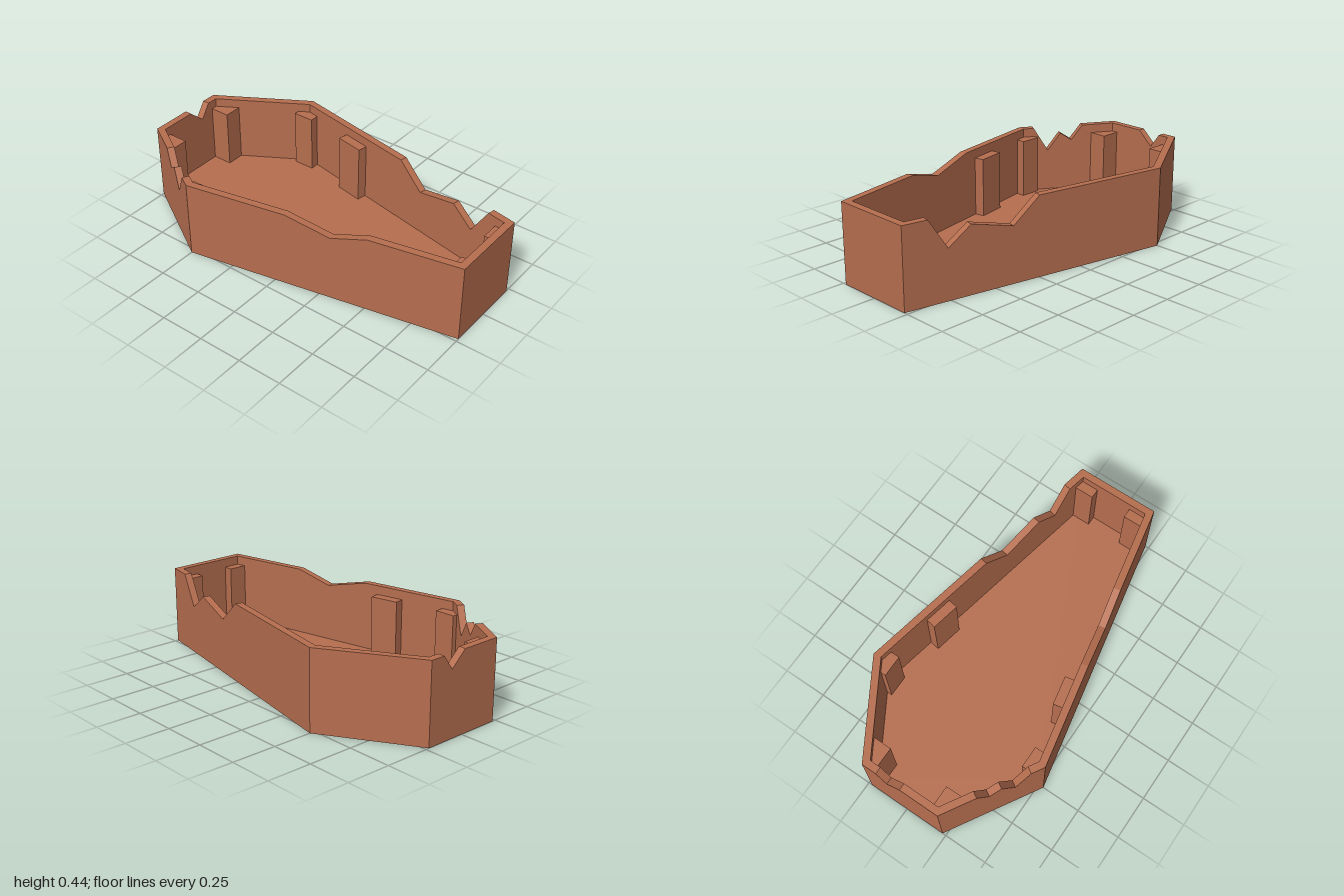
import * as THREE from 'three';

const HEIGHT = 0.44, THICK = 0.04, FLOOR = 0.06, POST = 0.39;

// six-sided footprint, counter-clockwise seen from above, as [x, z]
const outer = [[0.23, 1], [0.53, -0.5], [0.23, -1], [-0.23, -1], [-0.53, -0.5], [-0.23, 1]];
const inner = [[0.197, 0.96], [0.488, -0.492], [0.207, -0.96], [-0.207, -0.96], [-0.488, -0.492], [-0.197, 0.96]];

// broken top edge of each wall: [fraction along the wall, height]
const walls = [
  ['leftLongWall', [[0.09, HEIGHT], [0.16, 0.275], [0.243, 0.37], [0.4, 0.31], [0.5, HEIGHT]]],
  ['leftShoulderWall', []],
  ['headWall', [[0.185, HEIGHT], [0.31, 0.36], [0.5, HEIGHT]]],
  ['rightShoulderWall', [[0.36, HEIGHT], [0.475, 0.355], [0.59, 0.4], [0.72, 0.3], [0.868, HEIGHT]]],
  ['rightLongWall', [[0.375, HEIGHT], [0.54, 0.381], [0.673, HEIGHT]]],
  ['footWall', []],
];

// mitred wall with a jagged top, built from cross-sections along its length
function wallGeometry(i, notch) {
  const j = (i + 1) % 6;
  const [a, b] = [outer[i], outer[j]];
  const dx = b[0] - a[0], dz = b[1] - a[1], len = Math.hypot(dx, dz);
  const sections = [[0, HEIGHT], ...notch, [1, HEIGHT]].map(([t, y]) => {
    const o = [a[0] + dx * t, a[1] + dz * t];
    let n = [o[0] + (dz / len) * THICK, o[1] - (dx / len) * THICK];
    if (t === 0) n = inner[i];
    if (t === 1) n = inner[j];
    return { o, n, y };
  });
  const pos = [];
  const at = (p, y) => [p[0], y, p[1]];
  const quad = (p, q, r, s) => pos.push(...p, ...q, ...r, ...p, ...r, ...s);
  for (let k = 0; k + 1 < sections.length; k++) {
    const s = sections[k], e = sections[k + 1];
    quad(at(s.o, 0), at(e.o, 0), at(e.o, e.y), at(s.o, s.y)); // outside
    quad(at(e.n, 0), at(s.n, 0), at(s.n, s.y), at(e.n, e.y)); // inside
    quad(at(s.o, s.y), at(e.o, e.y), at(e.n, e.y), at(s.n, s.y)); // rim
    quad(at(s.o, 0), at(s.n, 0), at(e.n, 0), at(e.o, 0)); // underside
  }
  const g = new THREE.BufferGeometry();
  g.setAttribute('position', new THREE.Float32BufferAttribute(pos, 3));
  g.computeVertexNormals();
  return g;
}

// upright prism from an [x, z] outline
function prism(outline, y0, y1) {
  const shape = new THREE.Shape(outline.map(([x, z]) => new THREE.Vector2(x, -z)));
  return new THREE.ExtrudeGeometry(shape, { depth: y1 - y0, bevelEnabled: false })
    .rotateX(-Math.PI / 2).translate(0, y0, 0);
}

export function createModel() {
  const group = new THREE.Group();
  const wood = new THREE.MeshStandardMaterial({ color: 0xb66e4f });
  wood.name = 'reddish wood';
  const add = (name, geometry) => {
    const mesh = new THREE.Mesh(geometry, wood);
    mesh.name = name;
    group.add(mesh);
  };

  add('floor', prism(inner, 0, FLOOR));
  walls.forEach(([name, notch], i) => add(name, wallGeometry(i, notch)));

  // inner support posts, mirrored left and right
  const posts = {
    HeadPost: [[0.172, -0.97], [0.211, -0.97], [0.285, -0.846], [0.172, -0.846]],
    ShoulderPost: [[0.425, -0.55], [0.46, -0.55], [0.492, -0.492], [0.479, -0.43], [0.425, -0.43]],
    SidePost: [[0.372, -0.192], [0.428, -0.181], [0.397, -0.023], [0.341, -0.034]],
    FootPost: [[0.103, 0.907], [0.212, 0.907], [0.201, 0.965], [0.103, 0.965]],
  };
  for (const [name, outline] of Object.entries(posts)) {
    for (const side of [1, -1]) {
      const pts = outline.map(([x, z]) => [x * side, z]);
      add((side > 0 ? 'left' : 'right') + name, prism(pts, FLOOR - 0.01, POST));
    }
  }
  return group;
}
